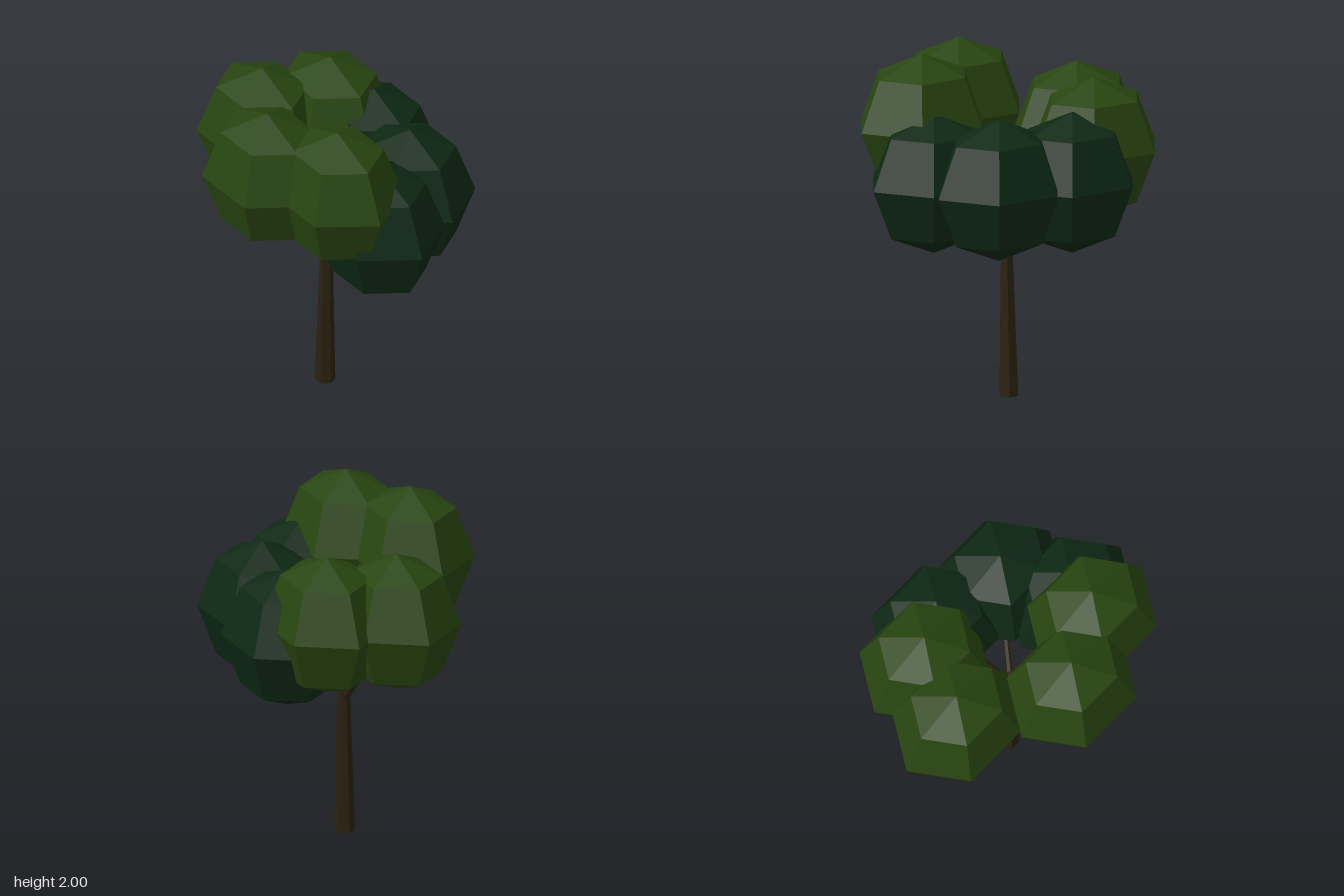
import * as THREE from 'three';

const mat = (name, color) => {
  const m = new THREE.MeshStandardMaterial({ color, flatShading: true });
  m.name = name;
  return m;
};

export function createModel() {
  const bark = mat('bark', 0x2a2110);
  const lightLeaf = mat('lightLeaf', 0x284510);
  const darkLeaf = mat('darkLeaf', 0x0e2814);
  const tree = new THREE.Group();
  tree.name = 'tree';

  // Tapered six-sided limb between two points
  const limb = (name, from, to, r0, r1) => {
    const dir = to.clone().sub(from);
    const geo = new THREE.CylinderGeometry(r1, r0, dir.length(), 6).rotateY(Math.PI / 6);
    const mesh = new THREE.Mesh(geo, bark);
    mesh.name = name;
    mesh.position.copy(from).add(to).multiplyScalar(0.5);
    mesh.quaternion.setFromUnitVectors(new THREE.Vector3(0, 1, 0), dir.normalize());
    tree.add(mesh);
  };

  const base = new THREE.Vector3(-0.007, 0, 0);
  const top = new THREE.Vector3(0.01, 1.02, 0);
  limb('trunk', base, top, 0.059, 0.032);

  // Leaf clumps: centre x, y, z, height where the branch leaves the trunk, leaf colour
  const clumps = [
    [0.04, 1.59, 0.437, 0.98, lightLeaf],
    [0.43, 1.59, 0.23, 0.98, lightLeaf],
    [-0.514, 1.45, 0.068, 0.79, lightLeaf],
    [-0.38, 1.45, -0.307, 0.98, lightLeaf],
    [-0.14, 1.31, -0.44, 0.92, darkLeaf],
    [0.307, 1.31, -0.363, 0.92, darkLeaf],
    [0.508, 1.31, -0.005, 0.8, darkLeaf],
  ];
  const leafGeo = new THREE.SphereGeometry(0.41, 6, 4).scale(1, 1, 0.866);

  for (const [x, y, z, fork, leaf] of clumps) {
    const centre = new THREE.Vector3(x, y, z);
    const clump = new THREE.Mesh(leafGeo, leaf);
    clump.name = 'leafClump';
    clump.position.copy(centre);
    tree.add(clump);
    // Branch ends hidden inside its clump
    const start = base.clone().lerp(top, fork / top.y);
    limb('branch', start, centre, 0.021, 0.013);
  }
  return tree;
}
